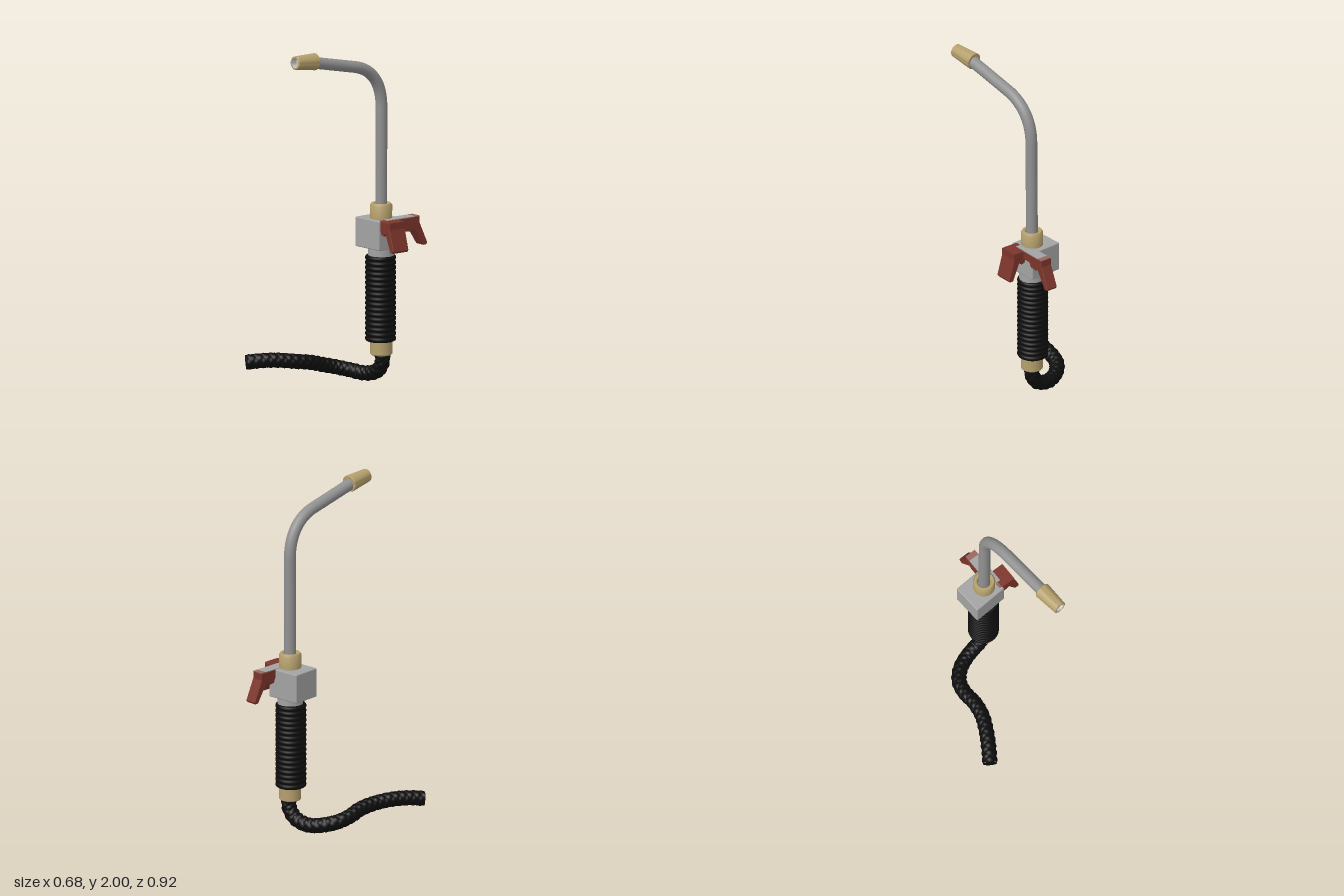
import * as THREE from 'three';
import { toCreasedNormals } from 'three/addons/utils/BufferGeometryUtils.js';
import { RoundedBoxGeometry } from 'three/addons/geometries/RoundedBoxGeometry.js';

const mat = (name, color) => Object.assign(new THREE.MeshStandardMaterial({ color }), { name });
const V = (x, y, z) => new THREE.Vector3(x, y, z);
const AX = 0.136, AZ = -0.198; // handle axis

export function createModel() {
  const root = new THREE.Group();
  const steel = mat('steel', 0x919191);
  const housing = mat('housing grey', 0xa3a3a3);
  const brass = mat('brass', 0xb5a06d);
  const red = mat('lever red', 0x7c352b);
  const worn = mat('worn red', 0x94675d);
  const rubber = mat('black rubber', 0x0d0d0d);
  const bore = mat('bore light grey', 0xc4c4c4);

  const add = (name, geometry, material, pos = [0, 0, 0]) => {
    const mesh = new THREE.Mesh(geometry, material);
    mesh.name = name;
    mesh.position.set(...pos);
    root.add(mesh);
    return mesh;
  };
  const turned = (points) => toCreasedNormals(
    new THREE.LatheGeometry(points.map(([r, y]) => new THREE.Vector2(r, y)), 32), 0.6);

  // Braided hose: a tube whose surface swells in a crossing helical pattern
  const hosePath = new THREE.CatmullRomCurve3([
    V(0.14, 0.21, -0.2), V(0.14, 0.14, -0.204), V(0.105, 0.085, -0.202), V(0.05, 0.06, -0.197),
    V(-0.01, 0.052, -0.182), V(-0.08, 0.062, -0.145), V(-0.135, 0.08, -0.08), V(-0.153, 0.1, 0),
    V(-0.152, 0.122, 0.08), V(-0.172, 0.138, 0.18), V(-0.22, 0.15, 0.28), V(-0.268, 0.149, 0.36),
    V(-0.315, 0.141, 0.43),
  ]);
  const hose = new THREE.TubeGeometry(hosePath, 240, 0.038, 32);
  const { position, normal, uv } = hose.attributes;
  for (let i = 0; i < position.count; i++) {
    const along = uv.getX(i) * 24, around = uv.getY(i) * 4;
    const swell = 0.007 * Math.sqrt(Math.abs(
      Math.sin(Math.PI * (around + along)) * Math.sin(Math.PI * (around - along))));
    position.setXYZ(i,
      position.getX(i) + normal.getX(i) * swell,
      position.getY(i) + normal.getY(i) * swell,
      position.getZ(i) + normal.getZ(i) * swell);
  }
  hose.computeVertexNormals();
  add('hose', hose, rubber);
  const hoseEnd = hosePath.getPoint(1);
  const cap = add('hoseEnd', new THREE.CircleGeometry(0.041, 24), rubber, hoseEnd.toArray());
  cap.lookAt(hoseEnd.clone().add(hosePath.getTangent(1)));

  // Lower collar
  add('lowerCollar', turned([[0, 0], [0.058, 0], [0.063, 0.006], [0.063, 0.09], [0, 0.09]]),
    brass, [AX + 0.001, 0.18, AZ]);

  // Ribbed grip
  const ribs = 17, height = 0.5, grip = [new THREE.Vector2(0.055, 0)];
  for (let i = 0; i <= ribs * 6; i++) {
    const wave = Math.abs(Math.sin(Math.PI * i / 6));
    grip.push(new THREE.Vector2(0.078 + 0.011 * Math.sqrt(wave), height * i / (ribs * 6)));
  }
  grip.push(new THREE.Vector2(0.055, height));
  add('grip', new THREE.LatheGeometry(grip, 32), rubber, [AX - 0.005, 0.26, AZ]);

  // Neck and valve housing
  add('neck', new THREE.CylinderGeometry(0.074, 0.074, 0.08, 32), housing, [AX, 0.78, AZ]);
  add('valveHousing', new RoundedBoxGeometry(0.206, 0.172, 0.178, 2, 0.006), housing,
    [0.111, 0.889, -0.2]).rotation.y = 0.06;

  // Upper collar with a recessed mouth
  add('upperCollar', turned([[0.063, 0], [0.064, 0.075], [0.056, 0.088], [0.044, 0.088],
    [0.038, 0.08], [0.036, 0.03]]), brass, [AX, 0.975, AZ]);

  // Bent pipe
  const pipePath = new THREE.CurvePath();
  const start = V(AX, 0.96, AZ), bendIn = V(0.14, 1.62, -0.197);
  const bendOut = V(0.151, 1.88, 0), end = V(0.163, 1.948, 0.32);
  pipePath.add(new THREE.LineCurve3(start, bendIn));
  pipePath.add(new THREE.CubicBezierCurve3(bendIn, V(0.141, 1.755, -0.197),
    V(0.147, 1.85, -0.13), bendOut));
  pipePath.add(new THREE.LineCurve3(bendOut, end));
  add('pipe', new THREE.TubeGeometry(pipePath, 90, 0.034, 24), steel);

  // Tapered nozzle with an open bore
  const back = V(0.161, 1.951, 0.302), front = V(0.172, 1.964, 0.458);
  const length = back.distanceTo(front);
  const nozzle = new THREE.Group();
  nozzle.name = 'nozzle';
  nozzle.position.copy(back);
  nozzle.quaternion.setFromUnitVectors(V(0, 1, 0), front.clone().sub(back).normalize());
  root.add(nozzle);
  const sleeve = new THREE.Mesh(turned([[0.03, 0], [0.046, 0], [0.049, 0.004],
    [0.039, length - 0.003], [0.036, length], [0.028, length]]), brass);
  sleeve.name = 'nozzleSleeve';
  const lining = new THREE.Mesh(turned([[0.028, length], [0.026, length - 0.035],
    [0, length - 0.035]]), bore);
  lining.name = 'nozzleBore';
  nozzle.add(sleeve, lining);

  // Cranked lever: flat arm, then a sloping finger; u runs outward from the housing
  const lever = (inner, flat, tip, width) => {
    const s = new THREE.Shape([
      [inner, 0.972], [flat, 0.972], [flat, 0.935], [tip, 0.815], [tip - 0.006, 0.806],
      [tip - 0.024, 0.806], [flat - 0.035, 0.91], [flat - 0.055, 0.895],
      [0.01, 0.90], [0, 0.925], [inner, 0.93],
    ].map(([u, y]) => new THREE.Vector2(u, y)));
    return new THREE.ExtrudeGeometry(s, { depth: width - 0.006, bevelThickness: 0.003,
      bevelSize: 0.003, bevelSegments: 1 });
  };
  add('sideLever', lever(-0.015, 0.083, 0.117, 0.112), red, [0.215, 0, -0.238]);
  add('rearLever', lever(-0.12, 0.107, 0.162, 0.07), red, [0.164, 0, -0.295])
    .rotation.y = Math.PI / 2;

  // Worn plates on top of the rear lever
  add('rearLeverPlate', new THREE.BoxGeometry(0.066, 0.004, 0.2), housing, [0.197, 0.976, -0.27]);
  add('rearLeverWear', new THREE.BoxGeometry(0.066, 0.004, 0.034), worn, [0.197, 0.976, -0.387]);

  return root;
}
